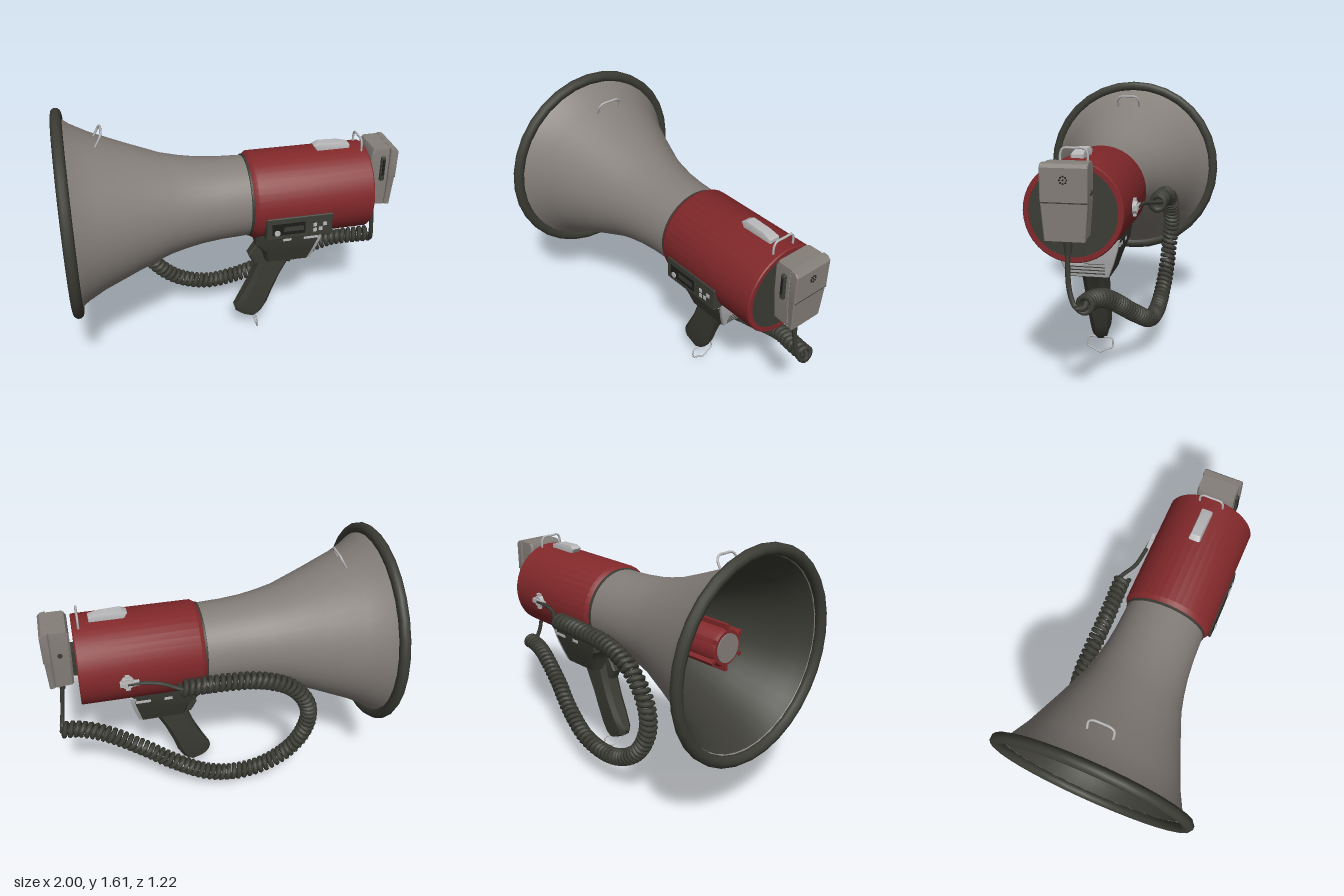
import * as THREE from 'three';
import { toCreasedNormals } from 'three/addons/utils/BufferGeometryUtils.js';
import { RoundedBoxGeometry } from 'three/addons/geometries/RoundedBoxGeometry.js';

const V = (x, y, z) => new THREE.Vector3(x, y, z);
const AXIS_Y = 1.01;

function material(name, color) {
  const m = new THREE.MeshStandardMaterial({ color, side: THREE.DoubleSide });
  m.name = name;
  return m;
}

// Turned part around the horn axis; profile is [x, radius] pairs
function turned(profile, segments, crease = 0.6) {
  const g = new THREE.LatheGeometry(profile.map(([x, r]) => new THREE.Vector2(r, x)), segments);
  g.rotateZ(-Math.PI / 2);
  g.translate(0, AXIS_Y, 0);
  return toCreasedNormals(g, crease);
}

// Stack of chamfered rectangles, top to bottom: [x0, y0, x1, y1, halfWidth]
function loft(sections, chamfer) {
  const pos = [], index = [];
  for (const [x0, y0, x1, y1, h] of sections) {
    const c = Math.min(chamfer, h * 0.6) / Math.abs(x1 - x0), k = h - Math.min(chamfer, h * 0.6);
    const ring = [[0, k], [c, h], [1 - c, h], [1, k], [1, -k], [1 - c, -h], [c, -h], [0, -k]];
    for (const [u, z] of ring) pos.push(x0 + (x1 - x0) * u, y0 + (y1 - y0) * u, z);
  }
  const last = (sections.length - 1) * 8;
  for (let s = 0; s < last; s += 8) {
    for (let i = 0; i < 8; i++) {
      const j = (i + 1) % 8;
      index.push(s + i, s + 8 + i, s + 8 + j, s + i, s + 8 + j, s + j);
    }
  }
  for (let i = 1; i < 7; i++) index.push(0, i, i + 1, last, last + i + 1, last + i);
  const g = new THREE.BufferGeometry();
  g.setAttribute('position', new THREE.Float32BufferAttribute(pos, 3));
  g.setIndex(index);
  return toCreasedNormals(g, 0.55);
}

function wire(points, radius, segments = 40, sides = 6) {
  return new THREE.TubeGeometry(new THREE.CatmullRomCurve3(points), segments, radius, sides);
}

// Helix wound around a path
class CoilCurve extends THREE.Curve {
  constructor(path, turns, radius) {
    super();
    Object.assign(this, { path, turns, radius, arcLengthDivisions: 2500 });
  }
  getPoint(t, target = new THREE.Vector3()) {
    const tangent = this.path.getTangentAt(t);
    const b = V(0, 0, 1).addScaledVector(tangent, -tangent.z).normalize();
    const n = b.clone().cross(tangent);
    const a = t * this.turns * Math.PI * 2;
    return target.copy(this.path.getPointAt(t))
      .addScaledVector(b, Math.cos(a) * this.radius)
      .addScaledVector(n, Math.sin(a) * this.radius);
  }
}

export function createModel() {
  const model = new THREE.Group();
  model.name = 'megaphone';
  const grey = material('warm grey', 0x857f7a);
  const red = material('deep red', 0x82282a);
  const dark = material('dark rubber', 0x3c3c35);
  const light = material('light grey', 0xb9b9bb);
  const black = material('black', 0x1d1d1b);

  const add = (name, geometry, mat) => {
    const mesh = new THREE.Mesh(geometry, mat);
    mesh.name = name;
    model.add(mesh);
    return mesh;
  };
  const box = (name, mat, w, h, d, x, y, z) => {
    const mesh = add(name, new THREE.BoxGeometry(w, h, d), mat);
    mesh.position.set(x, y, z);
    return mesh;
  };

  // Bell: outer skin, dark lining and rubber rim
  const bell = [[-0.95, 0.552], [-0.9, 0.515], [-0.8, 0.462], [-0.6, 0.38], [-0.4, 0.303],
    [-0.3, 0.279], [-0.2, 0.261], [-0.08, 0.249], [0.1, 0.242]];
  add('bell', turned(bell, 40), grey);
  add('bellLining', turned([...bell.map(([x, r]) => [x, r - 0.012]), [0.1, 0]], 40), dark);
  const rim = [];
  for (let i = 0; i <= 10; i++) {
    const a = i / 10 * Math.PI * 2;
    rim.push([-0.968 - Math.cos(a) * 0.032, 0.577 + Math.sin(a) * 0.034]);
  }
  add('bellRim', turned(rim, 32, 0.9), dark);

  // Inner horn driver with ribs inside the bell
  add('driver', turned([[0.05, 0.11], [-0.76, 0.11], [-0.78, 0.1], [-0.78, 0]], 20), red);
  add('driverCap', turned([[-0.77, 0.083], [-0.788, 0.083], [-0.788, 0]], 20), grey);
  for (let i = 0; i < 6; i++) {
    const a = i / 6 * Math.PI * 2;
    const rib = box('driverRib', red, 0.4, 0.035, 0.022, -0.58, AXIS_Y + Math.cos(a) * 0.117, Math.sin(a) * 0.117);
    rib.rotation.x = a;
  }

  // Red housing and its rear cover
  add('housing', turned([[0.085, 0.225], [0.09, 0.25], [0.115, 0.267], [0.81, 0.267], [0.817, 0.262],
    [0.817, 0.236], [0.79, 0.236]], 40), red);
  add('housingSeam', turned([[0.075, 0.24], [0.078, 0.249], [0.092, 0.249]], 40), dark);
  add('rearCover', turned([[0.79, 0.237], [0.812, 0.237], [0.812, 0]], 40), dark);

  // Control panel on the front side
  add('controlPanel', new RoundedBoxGeometry(0.405, 0.145, 0.1, 2, 0.008), dark).position.set(0.358, 0.907, 0.222);
  box('panelInset', black, 0.2, 0.075, 0.005, 0.29, 0.905, 0.2725);
  box('panelSlider', dark, 0.12, 0.03, 0.006, 0.32, 0.905, 0.274);
  const knob = add('panelKnob', new THREE.CylinderGeometry(0.018, 0.018, 0.008, 12), light);
  knob.rotation.x = Math.PI / 2;
  knob.position.set(0.22, 0.885, 0.277);
  for (const [x, y] of [[0.45, 0.915], [0.45, 0.88], [0.485, 0.885], [0.51, 0.915]])
    box('panelButton', light, 0.022, 0.022, 0.006, x, y, 0.274);

  // Grip mount, its pale rear plate, and the handle
  add('gripMount', loft([[0.12, 0.83, 0.53, 0.83, 0.19], [0.12, 0.745, 0.518, 0.745, 0.178],
    [0.18, 0.67, 0.498, 0.66, 0.15], [0.2, 0.58, 0.475, 0.575, 0.12]], 0.015), dark);
  add('mountRearPlate', loft([[0.5, 0.805, 0.536, 0.805, 0.188], [0.49, 0.745, 0.527, 0.745, 0.176],
    [0.47, 0.66, 0.507, 0.66, 0.149], [0.455, 0.58, 0.484, 0.58, 0.118]], 0.004), light);
  for (let i = 0; i < 4; i++)
    box('plateGroove', dark, 0.008, 0.006, 0.2, 0.488 + i * 0.005, 0.6 + i * 0.02, 0);
  add('handle', loft([[0.19, 0.62, 0.43, 0.62, 0.068], [0.17, 0.52, 0.385, 0.56, 0.066],
    [0.12, 0.38, 0.315, 0.42, 0.063], [0.065, 0.27, 0.268, 0.3, 0.06],
    [0.02, 0.19, 0.238, 0.2, 0.05], [0.03, 0.155, 0.2, 0.13, 0.045], [0.06, 0.135, 0.165, 0.098, 0.038]], 0.03), dark);
  add('trigger', loft([[0.16, 0.665, 0.25, 0.665, 0.035], [0.108, 0.585, 0.2, 0.58, 0.035],
    [0.14, 0.52, 0.2, 0.52, 0.03]], 0.01), dark);
  for (const s of [-1, 1]) {
    box('mountTab', light, 0.05, 0.018, 0.008, 0.31, 0.772, s * 0.182);
    box('mountTab', light, 0.09, 0.018, 0.008, 0.46, 0.772, s * 0.182);
  }

  // Wire loops: handle eyelet, bell sling and housing sling
  add('handleEyelet', wire([V(0.16, 0.11, 0), V(0.16, 0.105, 0.05), V(0.16, 0.1, 0.072), V(0.165, 0.045, 0.075),
    V(0.167, 0.032, 0.045), V(0.172, 0.012, 0), V(0.167, 0.032, -0.045), V(0.165, 0.045, -0.075),
    V(0.16, 0.1, -0.072), V(0.16, 0.105, -0.05), V(0.16, 0.11, 0)], 0.005, 60), light);
  add('bellSling', wire([V(-0.775, 1.45, 0.073), V(-0.745, 1.505, 0.07), V(-0.737, 1.523, 0.05), V(-0.735, 1.525, 0),
    V(-0.737, 1.523, -0.05), V(-0.745, 1.505, -0.07), V(-0.775, 1.45, -0.073)], 0.007), light);
  add('housingSling', wire([V(0.78, 1.25, 0.072), V(0.78, 1.31, 0.07), V(0.78, 1.333, 0.055), V(0.78, 1.335, 0),
    V(0.78, 1.333, -0.055), V(0.78, 1.31, -0.07), V(0.78, 1.25, -0.072)], 0.007), light);

  // Latches above and below the housing
  add('topLatch', loft([[0.53, 1.318, 0.66, 1.312, 0.028], [0.5, 1.3, 0.72, 1.295, 0.034],
    [0.52, 1.265, 0.72, 1.265, 0.034]], 0.006), light);
  box('bottomLatch', light, 0.115, 0.04, 0.075, 0.68, 0.735, 0);
  box('bottomLatchRidge', light, 0.03, 0.012, 0.06, 0.68, 0.71, 0);

  // Hand microphone hung on the rear cover
  box('microphoneClip', dark, 0.06, 0.17, 0.1, 0.83, 1.015, 0);
  add('microphoneBack', loft([[0.85, 1.282, 0.955, 1.282, 0.112], [0.837, 1.255, 0.955, 1.255, 0.115],
    [0.837, 1.09, 0.955, 1.09, 0.114], [0.842, 0.91, 0.955, 0.9, 0.102]], 0.012), grey);
  add('microphoneFace', loft([[0.95, 1.284, 0.985, 1.28, 0.12], [0.95, 1.262, 1, 1.262, 0.122],
    [0.95, 1.093, 0.997, 1.093, 0.121], [0.95, 1.088, 0.992, 1.088, 0.12], [0.95, 0.9, 0.983, 0.896, 0.105]], 0.005), grey);
  box('microphoneSeam', dark, 0.004, 0.006, 0.236, 0.995, 1.09, 0);
  for (let i = 0; i < 9; i++) {
    const r = i === 0 ? 0 : 0.018, a = i * Math.PI / 4;
    const hole = add('microphoneHole', new THREE.CylinderGeometry(0.005, 0.005, 0.006, 8), black);
    hole.rotation.z = Math.PI / 2;
    hole.position.set(0.9985, 1.203 + Math.sin(a) * r, Math.cos(a) * r);
  }
  add('talkButton', new RoundedBoxGeometry(0.03, 0.16, 0.03, 2, 0.01), dark).position.set(0.908, 1.155, 0.115);
  box('talkButtonGrip', black, 0.012, 0.1, 0.006, 0.908, 1.165, 0.131);
  const screw = add('microphoneScrew', new THREE.CylinderGeometry(0.014, 0.014, 0.012, 10), dark);
  screw.rotation.x = Math.PI / 2;
  screw.position.set(0.9, 1.13, -0.116);

  // Cable: strain relief, straight lead, coil and plug
  add('strainRelief', new THREE.CylinderGeometry(0.028, 0.018, 0.09, 10), dark).position.set(0.914, 0.86, 0);
  add('microphoneLead', wire([V(0.914, 0.85, 0), V(0.925, 0.74, 0), V(0.94, 0.62, -0.015), V(0.952, 0.55, -0.05),
    V(0.955, 0.55, -0.09), V(0.93, 0.575, -0.1)], 0.014, 30), dark);
  const path = new THREE.CatmullRomCurve3([V(0.955, 0.565, -0.09), V(0.85, 0.56, -0.1), V(0.7, 0.53, -0.14),
    V(0.5, 0.43, -0.19), V(0.3, 0.315, -0.25), V(0.1, 0.225, -0.29), V(-0.1, 0.195, -0.3), V(-0.3, 0.25, -0.31),
    V(-0.45, 0.38, -0.32), V(-0.52, 0.55, -0.33), V(-0.5, 0.72, -0.345), V(-0.38, 0.87, -0.35),
    V(-0.2, 0.94, -0.345), V(0, 0.96, -0.345), V(0.26, 0.97, -0.355)]);
  add('coiledCable', new THREE.TubeGeometry(new CoilCurve(path, 78, 0.039), 1100, 0.0155, 6), dark);
  add('plugLead', wire([V(0.24, 0.975, -0.38), V(0.28, 0.98, -0.36), V(0.36, 0.99, -0.315), V(0.45, 1, -0.298),
    V(0.55, 1, -0.288)], 0.012, 24), dark);
  const plug = add('plugSocket', new THREE.CylinderGeometry(0.035, 0.042, 0.03, 10), light);
  plug.rotation.x = -Math.PI / 2;
  plug.position.set(0.55, 1, -0.274);
  box('plugBody', light, 0.11, 0.028, 0.024, 0.54, 1, -0.285);
  box('plugTab', light, 0.028, 0.1, 0.016, 0.55, 1, -0.276);

  return model;
}
